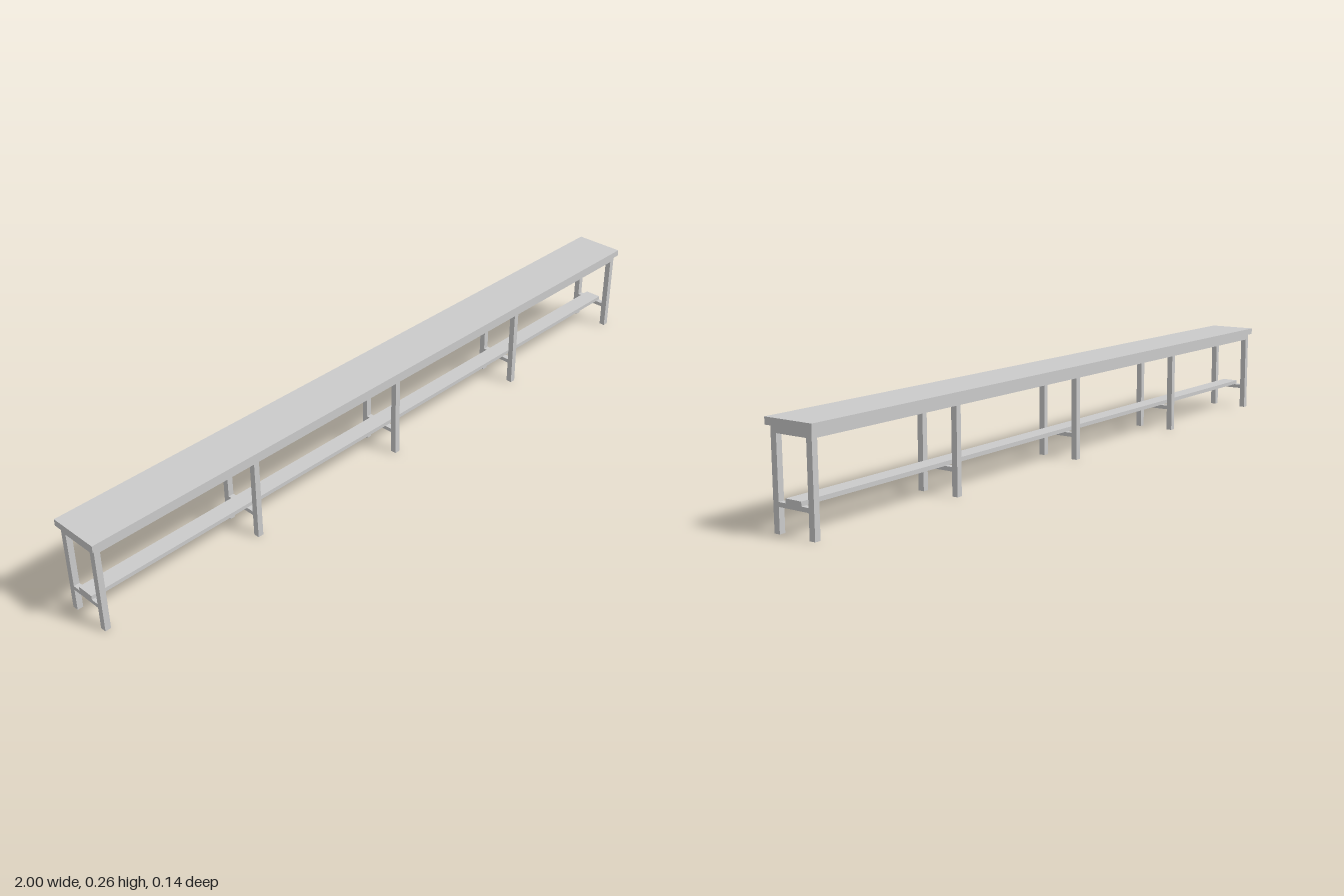
import * as THREE from 'three';

const material = new THREE.MeshStandardMaterial({ color: 0xcccccc });

// Box given by its min and max on each axis
function addBox(parent, name, [x0, x1], [y0, y1], [z0, z1]) {
  const mesh = new THREE.Mesh(new THREE.BoxGeometry(x1 - x0, y1 - y0, z1 - z0), material);
  mesh.position.set((x0 + x1) / 2, (y0 + y1) / 2, (z0 + z1) / 2);
  mesh.name = name;
  parent.add(mesh);
}

export function createModel() {
  const bench = new THREE.Group();
  bench.name = 'longBench';

  const end = 0.992, tube = 0.016;
  const inner = 0.0455, outer = 0.062;
  const seatBottom = 0.242, railBottom = 0.225;

  // Seat plank
  addBox(bench, 'seat', [-1, 1], [seatBottom, 0.26], [-0.071, 0.071]);

  // Five leg frames, each with two legs and two cross rails
  for (const x of [-0.984, -0.508, 0, 0.508, 0.984]) {
    const frame = new THREE.Group();
    frame.name = 'legFrame';
    const xs = [x - tube / 2, x + tube / 2];
    addBox(frame, 'frontLeg', xs, [0, railBottom], [inner, outer]);
    addBox(frame, 'backLeg', xs, [0, railBottom], [-outer, -inner]);
    addBox(frame, 'upperCrossRail', xs, [railBottom, seatBottom], [-inner, inner]);
    addBox(frame, 'lowerCrossRail', xs, [0.062, 0.073], [-inner, inner]);
    bench.add(frame);
  }

  // Long rails under the seat
  addBox(bench, 'frontRail', [-end, end], [railBottom, seatBottom], [inner, outer]);
  addBox(bench, 'backRail', [-end, end], [railBottom, seatBottom], [-outer, -inner]);

  // Narrow board resting on the lower cross rails
  addBox(bench, 'footBoard', [-end, end], [0.073, 0.084], [-0.024, 0.024]);

  return bench;
}
